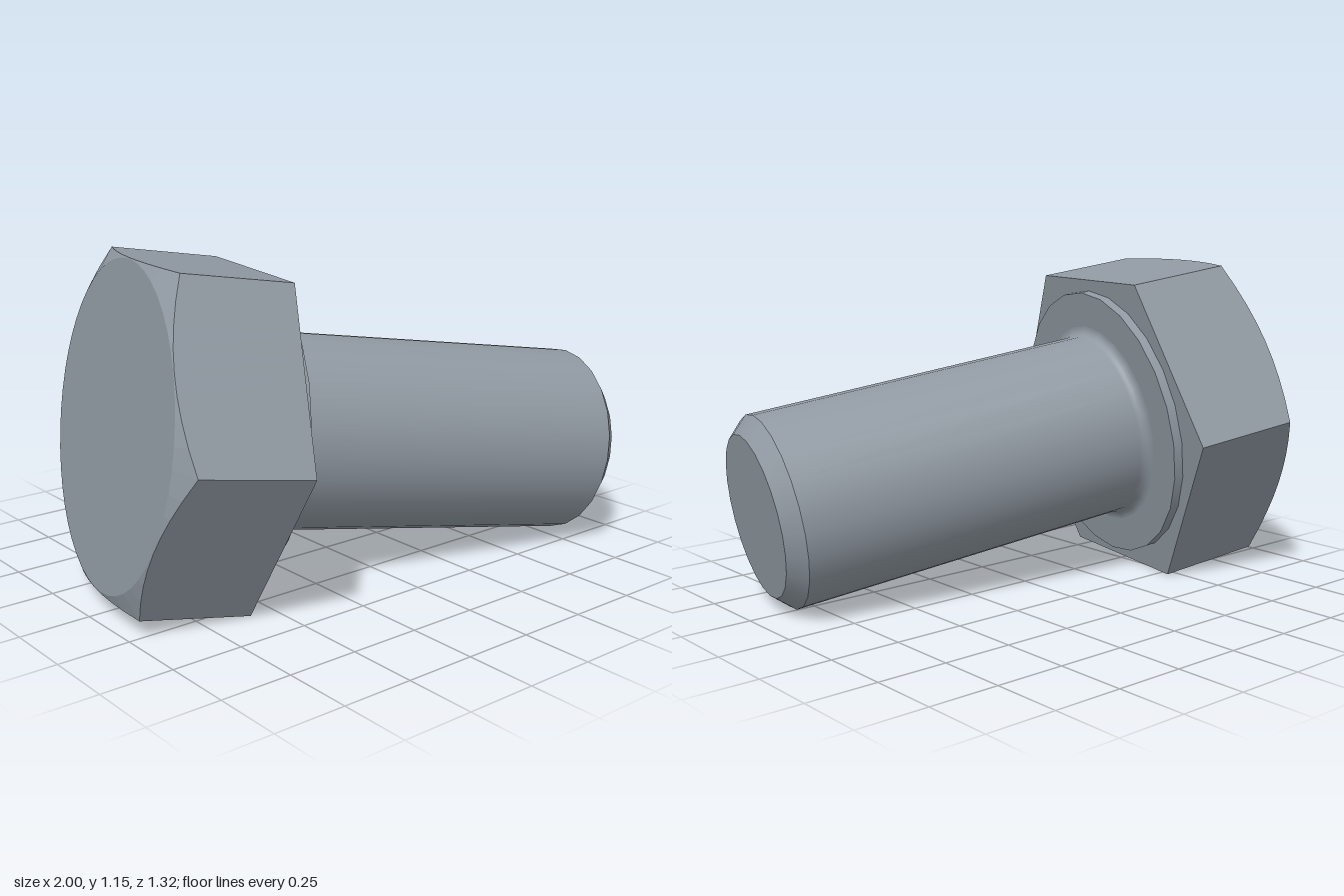
import * as THREE from 'three';

const SEG = 24;
const HEX_R = 0.635;                           // corner radius of the head
const FLAT_R = HEX_R * Math.cos(Math.PI / 6);  // distance to the flats
const HEAD = 0.432, CORNER = 0.385;            // head height at the cap and at the corners
const WASHER_R = 0.508, WASHER_T = 0.035;
const SHAFT_R = 0.344, FILLET = 0.035, TIP_R = 0.288;
const CHAMFER_Y = 1.355, TIP_Y = 1.413;

// Hexagonal head, its rear corners cut by a cone; front face at y = 0
function headGeometry() {
  const rim = [], steps = 8, cap = FLAT_R - 0.003;
  for (let i = 0; i < 6; i++) {
    for (let k = 0; k < steps; k++) {
      const off = -Math.PI / 6 + (k / steps) * Math.PI / 3;
      const a = i * Math.PI / 3 + Math.PI / 6 + off;
      const r = FLAT_R / Math.cos(off);
      const y = -CORNER - (HEAD - CORNER) * (HEX_R - r) / (HEX_R - cap);
      rim.push({ a, r, y });
    }
  }
  const pos = [];
  const at = (p, r, y) => [r * Math.cos(p.a), y, r * Math.sin(p.a)];
  const tri = (a, b, c) => pos.push(...a, ...b, ...c);
  const quad = (a, b, c, d) => { tri(a, b, c); tri(a, c, d); };
  rim.forEach((p, i) => {
    const q = rim[(i + 1) % rim.length];
    const pe = at(p, p.r, p.y), qe = at(q, q.r, q.y);
    const pt = at(p, p.r, 0), qt = at(q, q.r, 0);
    const pc = at(p, cap, -HEAD), qc = at(q, cap, -HEAD);
    quad(pe, pt, qt, qe);           // side flats
    quad(pc, pe, qe, qc);           // conical chamfer
    tri([0, -HEAD, 0], pc, qc);     // rear cap
    tri([0, 0, 0], qt, pt);         // front face
  });
  const geo = new THREE.BufferGeometry();
  geo.setAttribute('position', new THREE.Float32BufferAttribute(pos, 3));
  geo.computeVertexNormals();
  return geo;
}

export function createModel() {
  const steel = new THREE.MeshStandardMaterial({ color: 0x9099a2 });
  steel.name = 'steel';

  const bolt = new THREE.Group();
  bolt.name = 'bolt';
  const add = (name, geo) => {
    const mesh = new THREE.Mesh(geo, steel);
    mesh.name = name;
    bolt.add(mesh);
  };
  const lathe = (name, pts) =>
    add(name, new THREE.LatheGeometry(pts.map(([r, y]) => new THREE.Vector2(r, y)), SEG));

  add('head', headGeometry());

  // Raised washer face under the head
  lathe('washerRim', [[WASHER_R, 0], [WASHER_R, WASHER_T]]);
  lathe('washerFace', [[WASHER_R, WASHER_T], [SHAFT_R + FILLET, WASHER_T]]);

  // Shaft with a rounded root
  const shaft = [];
  for (let i = 0; i <= 6; i++) {
    const a = (i / 6) * Math.PI / 2;
    shaft.push([SHAFT_R + FILLET * (1 - Math.sin(a)), WASHER_T + FILLET * (1 - Math.cos(a))]);
  }
  shaft.push([SHAFT_R, CHAMFER_Y]);
  lathe('shaft', shaft);

  // Chamfered tip
  lathe('tipChamfer', [[SHAFT_R, CHAMFER_Y], [TIP_R, TIP_Y]]);
  lathe('tipFace', [[TIP_R, TIP_Y], [0, TIP_Y]]);

  // Tilt the bolt: its axis runs along +x, slightly down and forward
  const axis = new THREE.Vector3(1, -0.157, 0.213).normalize();
  const side = new THREE.Vector3(-axis.z, 0, axis.x).normalize();
  const up = new THREE.Vector3().crossVectors(side, axis);
  bolt.quaternion.setFromRotationMatrix(new THREE.Matrix4().makeBasis(side, axis, up));
  bolt.position.set(-0.443, 0.545, 0.04);

  const model = new THREE.Group();
  model.name = 'hexBolt';
  model.add(bolt);
  return model;
}
